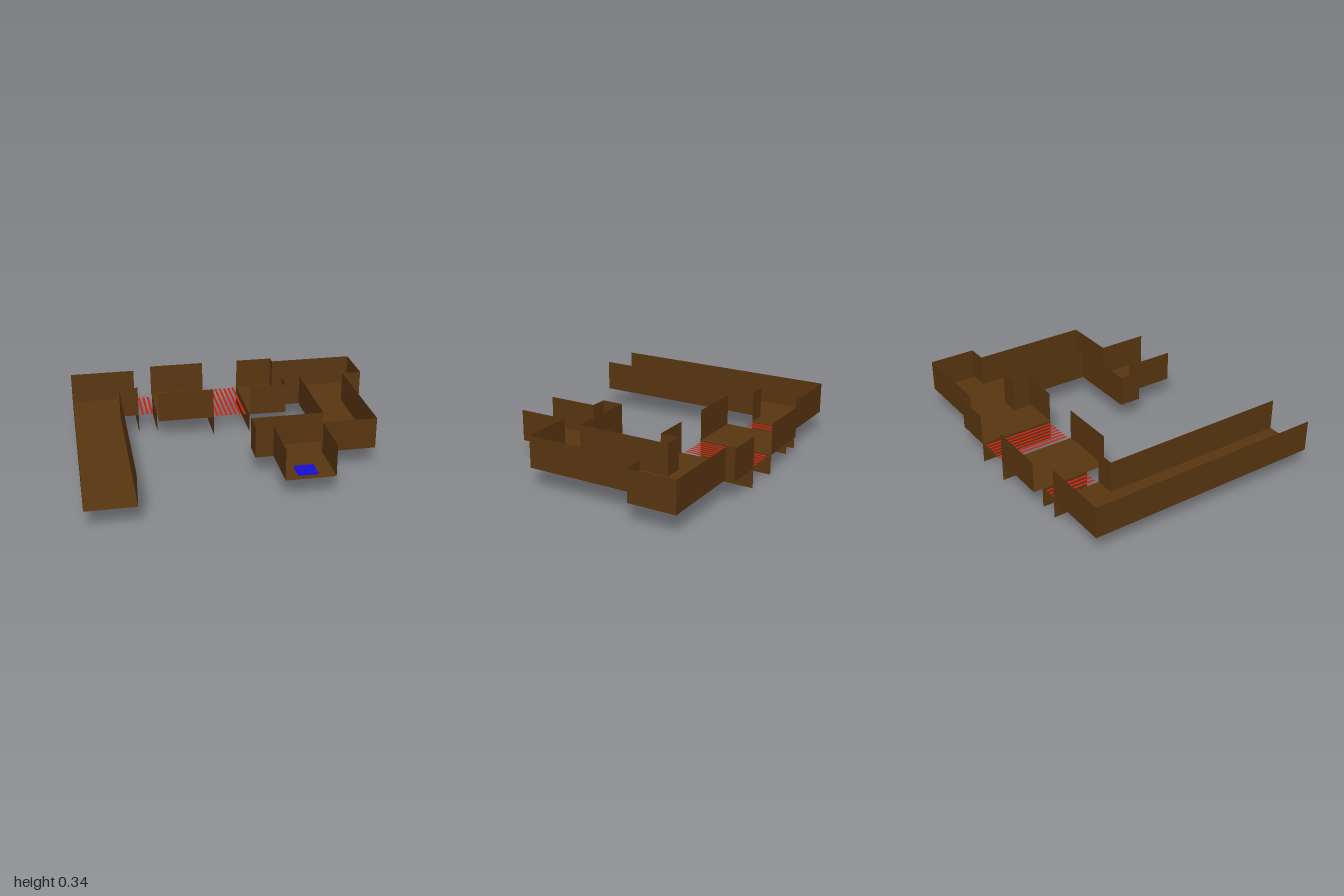
import * as THREE from 'three';

const FLOOR = 0.13, TOP = 0.335;

const material = (color) => new THREE.MeshStandardMaterial({ color, side: THREE.DoubleSide });

function addMesh(parent, name, geometry, mat) {
  const mesh = new THREE.Mesh(geometry, mat);
  mesh.name = name;
  parent.add(mesh);
  return mesh;
}

// Upright thin panel between two plan points [x, z], from y0 to y1
function addPanel(parent, name, a, b, y0, y1, mat) {
  const dx = b[0] - a[0], dz = b[1] - a[1];
  const panel = addMesh(parent, name, new THREE.PlaneGeometry(Math.hypot(dx, dz), y1 - y0), mat);
  panel.position.set((a[0] + b[0]) / 2, (y0 + y1) / 2, (a[1] + b[1]) / 2);
  panel.rotation.y = -Math.atan2(dz, dx);
}

// Floor from a plan outline, with a wall on every edge that is not open
function addSection(parent, name, outline, openEdges, mat) {
  const section = new THREE.Group();
  section.name = name;
  parent.add(section);
  const shape = new THREE.Shape(outline.map(([x, z]) => new THREE.Vector2(x, -z)));
  const floor = new THREE.ShapeGeometry(shape).rotateX(-Math.PI / 2);
  addMesh(section, 'floor', floor, mat).position.y = FLOOR;
  outline.forEach((a, i) => {
    if (openEdges.includes(i)) return;
    addPanel(section, 'wall', a, outline[(i + 1) % outline.length], FLOOR, TOP, mat);
  });
}

// Row of flat bars lying across a gap at floor level
function addBars(parent, name, firstX, count, z0, z1, mat) {
  const bars = new THREE.Group();
  bars.name = name;
  parent.add(bars);
  for (let i = 0; i < count; i++) {
    const bar = addMesh(bars, 'bar', new THREE.PlaneGeometry(0.016, z1 - z0).rotateX(-Math.PI / 2), mat);
    bar.position.set(firstX + i * 0.0315, FLOOR, (z0 + z1) / 2);
  }
}

export function createModel() {
  const model = new THREE.Group();
  model.name = 'corridorLevel';
  const brown = material(0x5a3610);
  const red = material(0xc82010);
  const blue = material(0x1410d8);

  // Long corridor, open at its front end and at the first gap
  addSection(model, 'longCorridor', [
    [-1, 0.81], [-1, -0.75], [-0.565, -0.75], [-0.565, -0.44], [-0.69, -0.44], [-0.69, 0.81],
  ], [2, 5], brown);

  // Platform between the two gaps
  addSection(model, 'middlePlatform', [
    [-0.44, -0.81], [-0.065, -0.81], [-0.065, -0.315], [-0.44, -0.315],
  ], [1, 3], brown);

  // Far platform, side passages and end room, open at the gap and at the front
  addSection(model, 'windingCorridor', [
    [0.185, -0.81], [0.435, -0.81], [0.435, -0.75], [1, -0.75], [1, -0.44], [0.87, -0.44],
    [0.87, 0.33], [0.52, 0.33], [0.52, 0.66], [0.205, 0.66], [0.205, 0.33], [0.09, 0.33],
    [0.09, 0.185], [0.56, 0.185], [0.56, -0.44], [0.435, -0.44], [0.435, -0.315], [0.185, -0.315],
  ], [8, 17], brown);

  // Panels dropping below the floor on both sides of each gap
  for (const [x, z0, z1] of [
    [-0.565, -0.75, -0.44], [-0.44, -0.75, -0.44], [-0.065, -0.81, -0.315], [0.185, -0.81, -0.315],
  ]) addPanel(model, 'pitPanel', [x, z0], [x, z1], 0, FLOOR, brown);

  // Bars over the gaps
  addBars(model, 'narrowGapBars', -0.535, 3, -0.74, -0.45, red);
  addBars(model, 'wideGapBars', -0.035, 7, -0.8, -0.33, red);

  // Thin floor plate in the end room
  const plate = addMesh(model, 'floorPlate', new THREE.BoxGeometry(0.125, 0.011, 0.12), blue);
  plate.position.set(0.357, 0.131, 0.555);

  return model;
}
